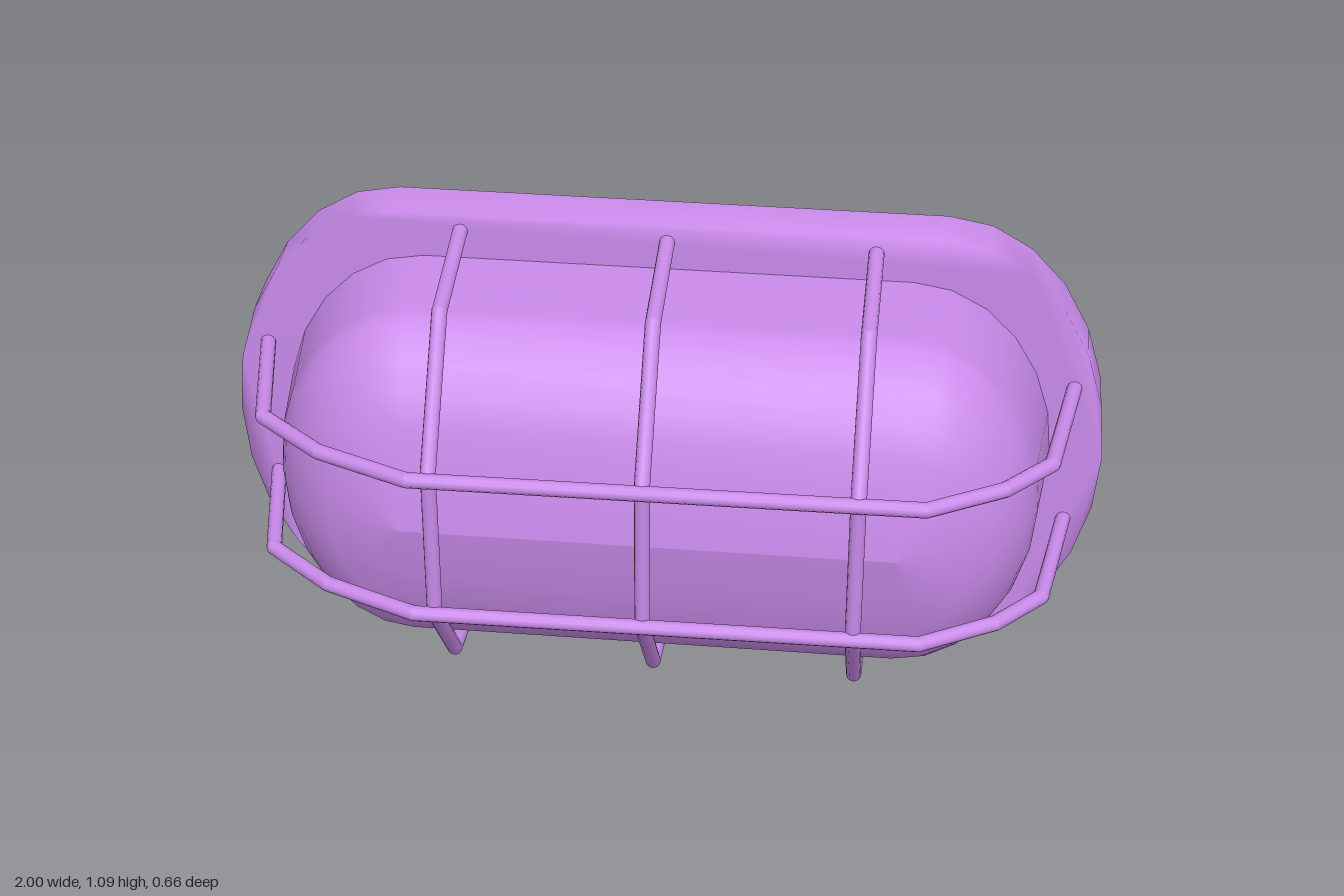
import * as THREE from 'three';

const CY = 0.5425; // height of the centre line
const FLANGE_Z = -0.212;

const purple = new THREE.MeshStandardMaterial({ color: 0xc98aea, side: THREE.DoubleSide });
const green = new THREE.MeshStandardMaterial({ color: 0xb5e070, side: THREE.DoubleSide });

// Long outline with straight top and bottom and elliptical ends, counterclockwise from the front
function outline(straight, rx, ry, segs) {
  const pts = [];
  for (const side of [1, -1]) {
    for (let i = 0; i <= segs; i++) {
      const a = -Math.PI / 2 + (Math.PI * i) / segs;
      pts.push(new THREE.Vector2(side * (straight + rx * Math.cos(a)), CY + side * ry * Math.sin(a)));
    }
  }
  return pts;
}

// Skin over a stack of outlines, each { pts, z }, ordered back to front; the front one can be filled
function loft(rings, filled = false) {
  const n = rings[0].pts.length;
  const pos = [];
  const idx = [];
  rings.forEach(({ pts, z }) => pts.forEach((p) => pos.push(p.x, p.y, z)));
  for (let i = 0; i < rings.length - 1; i++) {
    for (let j = 0; j < n; j++) {
      const k = (j + 1) % n;
      const a = i * n + j, b = i * n + k, c = a + n, d = b + n;
      idx.push(a, b, c, b, d, c);
    }
  }
  if (filled) {
    const start = (rings.length - 1) * n;
    const faces = THREE.ShapeUtils.triangulateShape(rings[rings.length - 1].pts, []);
    faces.forEach((f) => idx.push(...f.map((v) => v + start)));
  }
  const geo = new THREE.BufferGeometry();
  geo.setAttribute('position', new THREE.Float32BufferAttribute(pos, 3));
  geo.setIndex(idx);
  geo.computeVertexNormals();
  return geo;
}

function mesh(name, geo, mat = purple) {
  const m = new THREE.Mesh(geo, mat);
  m.name = name;
  return m;
}

// Bent rod: an open tube per straight run and a ball at each bend
function rod(name, points, radius = 0.0175) {
  const g = new THREE.Group();
  g.name = name;
  for (let i = 0; i < points.length - 1; i++) {
    const dir = points[i + 1].clone().sub(points[i]);
    const run = mesh('rodRun', new THREE.CylinderGeometry(radius, radius, dir.length(), 12, 1, true));
    run.position.copy(points[i]).addScaledVector(dir, 0.5);
    run.quaternion.setFromUnitVectors(new THREE.Vector3(0, 1, 0), dir.normalize());
    g.add(run);
    if (i > 0) {
      const bend = mesh('rodBend', new THREE.SphereGeometry(radius, 12, 8));
      bend.position.copy(points[i]);
      g.add(bend);
    }
  }
  return g;
}

export function createModel() {
  const model = new THREE.Group();
  model.name = 'cagedWallLamp';

  // Base: a shallow tray with a closed front, open at the back, shaded smoothly over its edge
  const rim = outline(0.62, 0.38, 0.5425, 12);
  model.add(mesh('base', loft([{ pts: rim, z: -0.328 }, { pts: rim, z: FLANGE_Z }], true)));

  // Collar standing out from the plate towards the back
  const ring = outline(0.48, 0.285, 0.402, 8);
  model.add(mesh('collar', loft([{ pts: ring, z: -0.27 }, { pts: ring, z: FLANGE_Z }]), green));

  // Lamp cover: depth, half height and end length, closing to a ridge at the front
  const coverProfile = [
    [FLANGE_Z, 0.435, 0.33], [0.01, 0.428, 0.306], [0.035, 0.418, 0.3], [0.07, 0.4, 0.288], [0.12, 0.362, 0.258],
    [0.165, 0.305, 0.215], [0.2, 0.24, 0.165], [0.23, 0.12, 0.085], [0.25, 0, 0],
  ];
  model.add(mesh('cover', loft(coverProfile.map(([z, h, e]) => ({ pts: outline(0.55, e, h, 12), z })))));

  // Cage of bent rods
  const cage = new THREE.Group();
  cage.name = 'cage';
  const upright = [[1.047, -0.222], [1.01, 0.075], [0.732, 0.293], [0.356, 0.293], [0.094, 0.075], [0.04, -0.222]];
  for (const x of [-0.465, 0, 0.465]) {
    cage.add(rod('uprightRod', upright.map(([y, z]) => new THREE.Vector3(x, y, z))));
  }
  const cross = [
    [-0.925, -0.222], [-0.869, 0.1], [-0.72, 0.225], [-0.51, 0.313],
    [0.61, 0.305], [0.775, 0.21], [0.876, 0.1], [0.925, -0.222],
  ];
  for (const y of [0.367, 0.725]) {
    cage.add(rod('crossRod', cross.map(([x, z]) => new THREE.Vector3(x, y, z))));
  }
  model.add(cage);

  return model;
}
